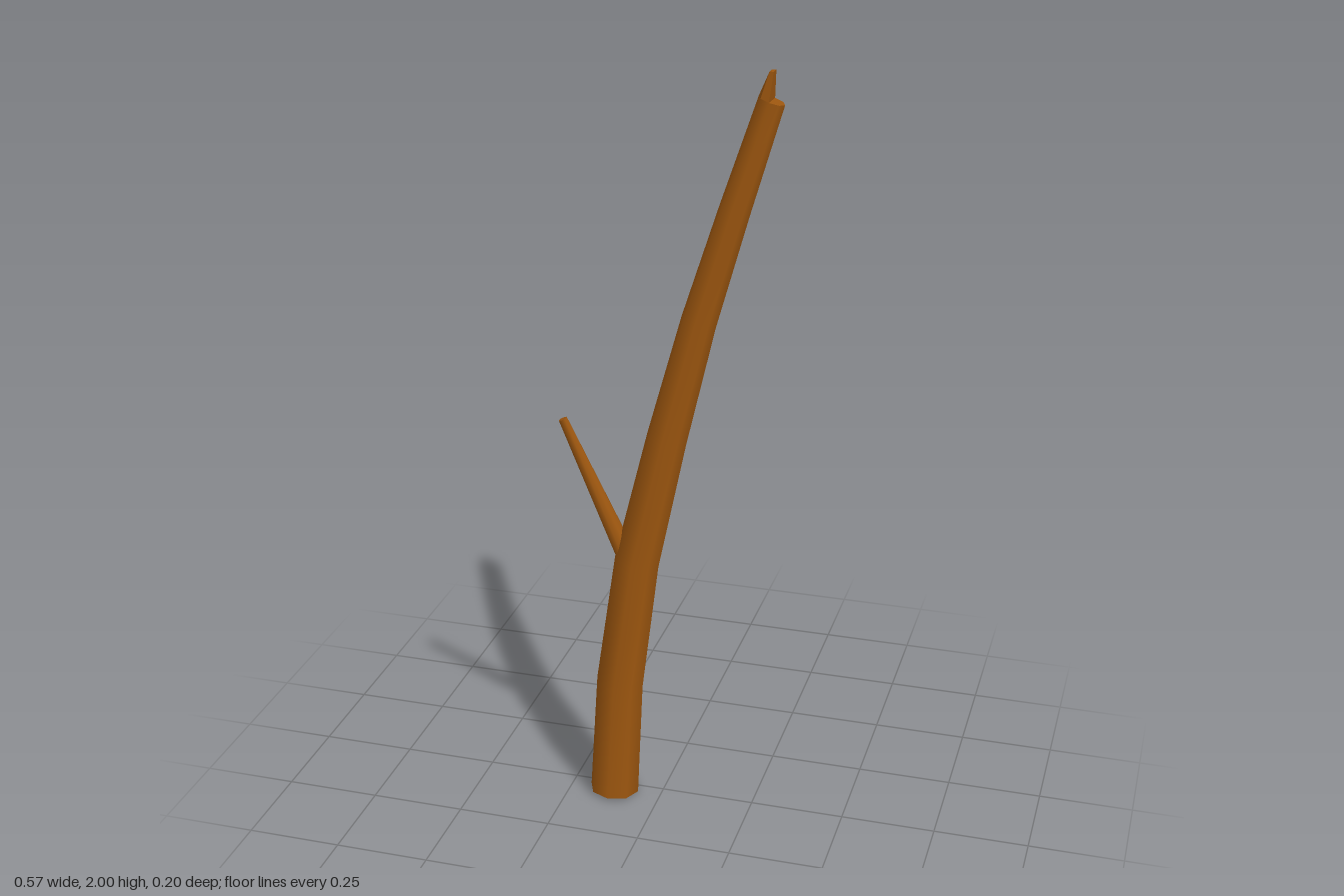
import * as THREE from 'three';
import { ConvexGeometry } from 'three/addons/geometries/ConvexGeometry.js';

const SIDES = 8;
const UP = new THREE.Vector3(0, 1, 0);

// One octagonal ring of points, square to the given direction
function ring(center, dir, radius) {
  const q = new THREE.Quaternion().setFromUnitVectors(UP, dir);
  return Array.from({ length: SIDES }, (_, i) => {
    const a = (i / SIDES) * Math.PI * 2;
    return new THREE.Vector3(Math.cos(a) * radius, 0, Math.sin(a) * radius).applyQuaternion(q).add(center);
  });
}

// Rings along a path of [x, y, z, radius]
function ringsAlong(path) {
  const pts = path.map(([x, y, z]) => new THREE.Vector3(x, y, z));
  return path.map((p, i) => {
    const dir = pts[Math.min(i + 1, pts.length - 1)].clone().sub(pts[Math.max(i - 1, 0)]).normalize();
    return ring(pts[i], dir, p[3]);
  });
}

// Smooth-sided limb with flat end caps
function limbGeometry(rings) {
  const verts = rings.flat();
  const index = [];
  for (let r = 0; r < rings.length - 1; r++) {
    for (let i = 0; i < SIDES; i++) {
      const a = r * SIDES + i;
      const b = r * SIDES + ((i + 1) % SIDES);
      index.push(a, a + SIDES, b, b, a + SIDES, b + SIDES);
    }
  }
  // Caps use their own vertices so the rims stay sharp
  const bottom = verts.length;
  verts.push(...rings[0]);
  const top = verts.length;
  verts.push(...rings[rings.length - 1]);
  for (let i = 1; i < SIDES - 1; i++) {
    index.push(bottom, bottom + i, bottom + i + 1);
    index.push(top, top + i + 1, top + i);
  }
  const geo = new THREE.BufferGeometry().setFromPoints(verts);
  geo.setIndex(index);
  geo.computeVertexNormals();
  return geo;
}

export function createModel() {
  const model = new THREE.Group();
  model.name = 'brokenStick';
  const bark = new THREE.MeshStandardMaterial({ color: 0x9c560f });
  bark.name = 'brown bark';

  const add = (name, geometry) => {
    const mesh = new THREE.Mesh(geometry, bark);
    mesh.name = name;
    model.add(mesh);
  };

  // Main stem, bending to its left and backwards as it thins
  const stem = ringsAlong([
    [-0.13, 0.004, 0.033, 0.067],
    [-0.117, 0.33, 0.018, 0.064],
    [-0.073, 0.69, 0, 0.06],
    [0.003, 1.04, -0.02, 0.053],
    [0.081, 1.36, -0.038, 0.046],
    [0.165, 1.65, -0.055, 0.04],
    [0.25, 1.928, -0.07, 0.034],
  ]);
  add('stem', limbGeometry(stem));

  // Splinter left standing on half of the broken end
  const rim = stem[stem.length - 1];
  const tip = [[0.256, -0.056], [0.256, -0.084], [0.245, -0.08], [0.245, -0.06]]
    .map(([x, z]) => new THREE.Vector3(x, 2, z));
  add('splinter', new ConvexGeometry([...rim.slice(2, 7), ...tip]));

  // Side twig, its root sunk in the stem
  add('twig', limbGeometry(ringsAlong([
    [-0.085, 0.66, -0.005, 0.029],
    [-0.2725, 1.07, -0.005, 0.012],
  ])));

  return model;
}
